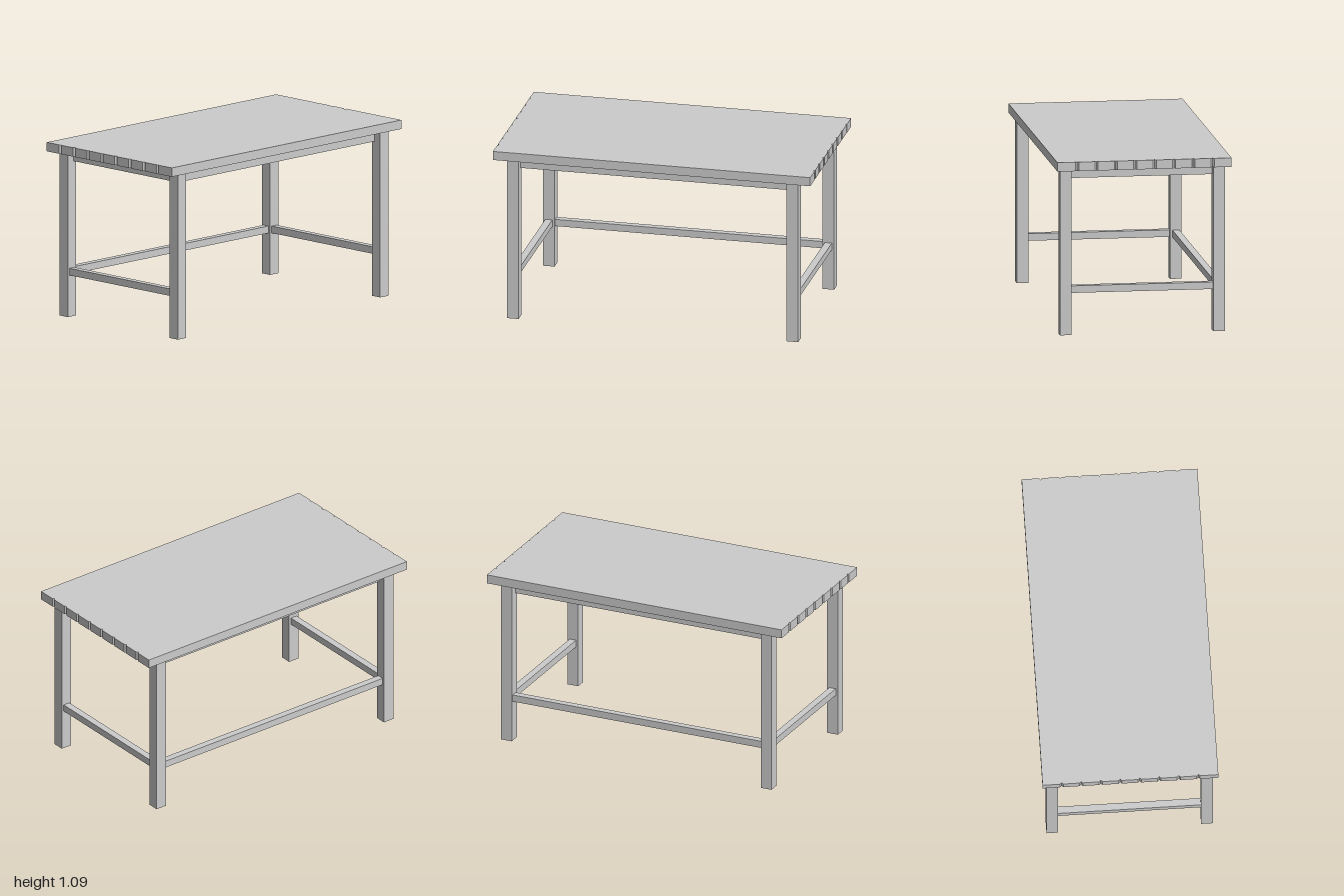
import * as THREE from 'three';

const material = new THREE.MeshStandardMaterial({ color: 0xcccccc, flatShading: true });

// Box given by its centre on x and z, and its bottom and top heights
function addBox(group, name, w, d, x, z, y0, y1) {
  const mesh = new THREE.Mesh(new THREE.BoxGeometry(w, y1 - y0, d), material);
  mesh.name = name;
  mesh.position.set(x, (y0 + y1) / 2, z);
  group.add(mesh);
}

export function createModel() {
  const table = new THREE.Group();
  table.name = 'table';

  const halfW = 0.54, halfD = 1;
  const topY0 = 1.037, topY1 = 1.093;
  const legSize = 0.072, legX = 0.475, legZ = 0.881;

  // Tabletop: one slab with small V notches at both ends marking the planks
  const notches = Array.from({ length: 8 }, (_, i) => -0.423 + i * 0.12);
  const notch = 0.01;
  const outline = [[-halfW, -halfD]];
  for (const x of notches) outline.push([x - notch, -halfD], [x, -halfD + notch], [x + notch, -halfD]);
  outline.push([halfW, -halfD], [halfW, halfD]);
  for (const x of [...notches].reverse()) outline.push([x + notch, halfD], [x, halfD - notch], [x - notch, halfD]);
  outline.push([-halfW, halfD]);
  const shape = new THREE.Shape(outline.map(([x, y]) => new THREE.Vector2(x, y)));
  const topGeometry = new THREE.ExtrudeGeometry(shape, { depth: topY1 - topY0, bevelEnabled: false });
  topGeometry.rotateX(-Math.PI / 2);
  const top = new THREE.Mesh(topGeometry, material);
  top.name = 'tabletop';
  top.position.y = topY0;
  table.add(top);

  // Solid support panel under the top
  addBox(table, 'underPanel', 0.92, 1.732, 0, 0, 0.97, topY0);

  // Legs
  for (const [sideName, sx] of [['Left', 1], ['Right', -1]]) {
    for (const [endName, sz] of [['front', 1], ['back', -1]]) {
      addBox(table, `${endName}${sideName}Leg`, legSize, legSize, sx * legX, sz * legZ, 0, topY0);
    }
  }

  // Stretchers: both ends, and the right side only
  const rail = 0.044, railY0 = 0.26, railY1 = 0.304;
  const railW = 2 * legX - legSize, railD = 2 * legZ - legSize;
  addBox(table, 'frontStretcher', railW, rail, 0, legZ, railY0, railY1);
  addBox(table, 'backStretcher', railW, rail, 0, -legZ, railY0, railY1);
  addBox(table, 'rightStretcher', rail, railD, -legX, 0, railY0, railY1);

  return table;
}
